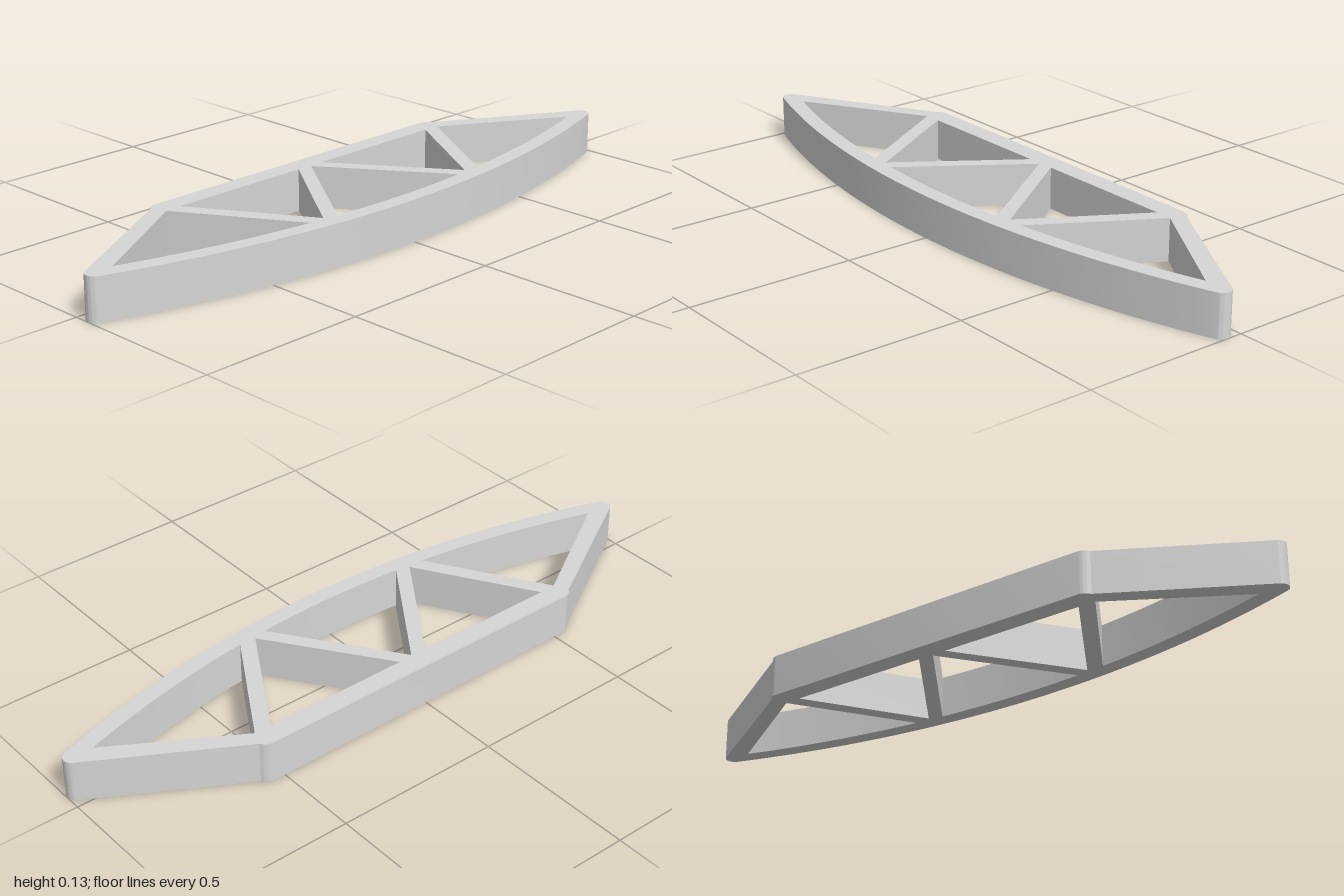
import * as THREE from 'three';
import { toCreasedNormals } from 'three/addons/utils/BufferGeometryUtils.js';

const HEIGHT = 0.127;
const ARC_R = 2.963, ARC_X = 0.24 - ARC_R; // outer bow arc, centred on z = 0
const INNER_R = ARC_R - 0.05;              // inner face of the bow
const CAP_R = 0.027;                       // rounded tips

// Angle on the inner arc at a given lengthwise position
const innerAngle = (z) => Math.asin(z / INNER_R);

// Closed path through straight corners
function polygon(points) {
  return new THREE.Path(points.map(([x, y]) => new THREE.Vector2(x, y))).closePath();
}

// Opening with one curved side along the bow and one corner opposite it
function bowOpening(corner, z0, z1) {
  const p = new THREE.Path();
  p.absarc(ARC_X, 0, INNER_R, innerAngle(z0), innerAngle(z1), false);
  p.lineTo(...corner);
  p.closePath();
  return p;
}

function trussShape() {
  const s = new THREE.Shape();
  const a = Math.asin(0.973 / (ARC_R - CAP_R));
  const tipX = ARC_X + (ARC_R - CAP_R) * Math.cos(a), tipY = 0.973;
  const slant = 2.6; // outward direction of the slanted end struts

  // Bow, rounded tip, slanted strut, chord, then the mirrored end
  s.absarc(ARC_X, 0, ARC_R, -a, a, false);
  s.absarc(tipX, tipY, CAP_R, a, slant, false);
  s.lineTo(-0.222, 0.566);
  s.quadraticCurveTo(-0.24, 0.555, -0.241, 0.535);
  s.lineTo(-0.241, -0.535);
  s.quadraticCurveTo(-0.24, -0.555, -0.222, -0.566);
  s.absarc(tipX, -tipY, CAP_R, -slant, -a, false);

  // Triangular openings between the web members
  s.holes.push(bowOpening([-0.175, 0], -0.245, 0.245));
  s.holes.push(bowOpening([-0.178, 0.548], 0.338, 0.912));
  s.holes.push(bowOpening([-0.178, -0.548], -0.912, -0.338));
  for (const m of [1, -1]) {
    s.holes.push(polygon([[-0.18, 0.496 * m], [0.167, 0.287 * m], [-0.18, 0.046 * m]]));
  }
  return s;
}

export function createModel() {
  const grey = new THREE.MeshStandardMaterial({ color: 0xd6d6d6 });
  grey.name = 'lightGrey';

  const geometry = new THREE.ExtrudeGeometry(trussShape(), {
    depth: HEIGHT, bevelEnabled: false, curveSegments: 16,
  });
  geometry.rotateX(-Math.PI / 2);

  const truss = new THREE.Mesh(toCreasedNormals(geometry, 0.25), grey);
  truss.name = 'bowTruss';

  const group = new THREE.Group();
  group.name = 'trussFrame';
  group.add(truss);
  return group;
}
